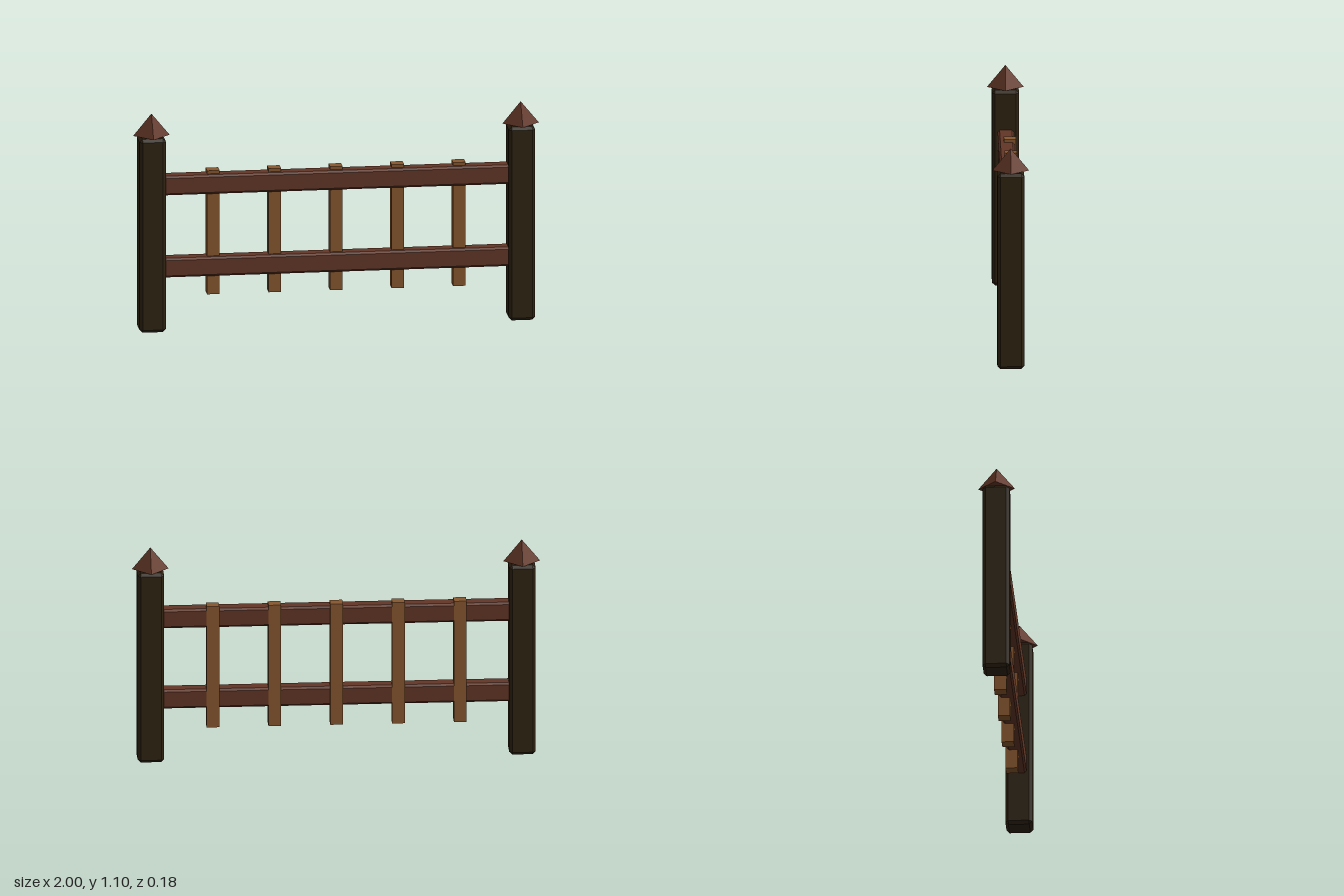
import * as THREE from 'three';
import { ConvexGeometry } from 'three/addons/geometries/ConvexGeometry.js';

// Box with every edge cut flat by c
function chamferBox(w, h, d, c) {
  const pts = [];
  for (const x of [-1, 1]) for (const y of [-1, 1]) for (const z of [-1, 1]) {
    const a = [x * w / 2, y * h / 2, z * d / 2];
    const b = [x * (w / 2 - c), y * (h / 2 - c), z * (d / 2 - c)];
    pts.push(
      new THREE.Vector3(a[0], b[1], b[2]),
      new THREE.Vector3(b[0], a[1], b[2]),
      new THREE.Vector3(b[0], b[1], a[2]),
    );
  }
  return new ConvexGeometry(pts);
}

function material(name, color) {
  const m = new THREE.MeshStandardMaterial({ color, flatShading: true });
  m.name = name;
  return m;
}

export function createModel() {
  const group = new THREE.Group();
  group.name = 'fence';
  const darkWood = material('dark post wood', 0x2f2312);
  const redWood = material('red brown wood', 0x623626);
  const lightWood = material('light picket wood', 0x87572e);

  const add = (name, geometry, mat, x, y, z) => {
    const mesh = new THREE.Mesh(geometry, mat);
    mesh.name = name;
    mesh.position.set(x, y, z);
    group.add(mesh);
  };

  // End posts with pointed four-sided caps, corners facing the axes
  const post = chamferBox(0.13, 0.98, 0.132, 0.015);
  const cap = new THREE.ConeGeometry(0.09, 0.11, 4);
  for (const side of [-1, 1]) {
    const label = side > 0 ? 'left' : 'right';
    add(label + 'Post', post, darkWood, side * 0.91, 0.493, 0);
    add(label + 'Cap', cap, redWood, side * 0.91, 1.043, 0);
  }

  // Horizontal rails running into the posts
  const rail = chamferBox(1.74, 0.097, 0.08, 0.01);
  add('upperRail', rail, redWood, 0, 0.738, -0.001);
  add('lowerRail', rail, redWood, 0, 0.322, -0.001);

  // Slim pickets let into the back of the rails
  const picket = new THREE.BoxGeometry(0.062, 0.626, 0.06);
  for (let i = -2; i <= 2; i++) {
    add('picket' + (i + 3), picket, lightWood, i * 0.303, 0.489, -0.018);
  }
  return group;
}
